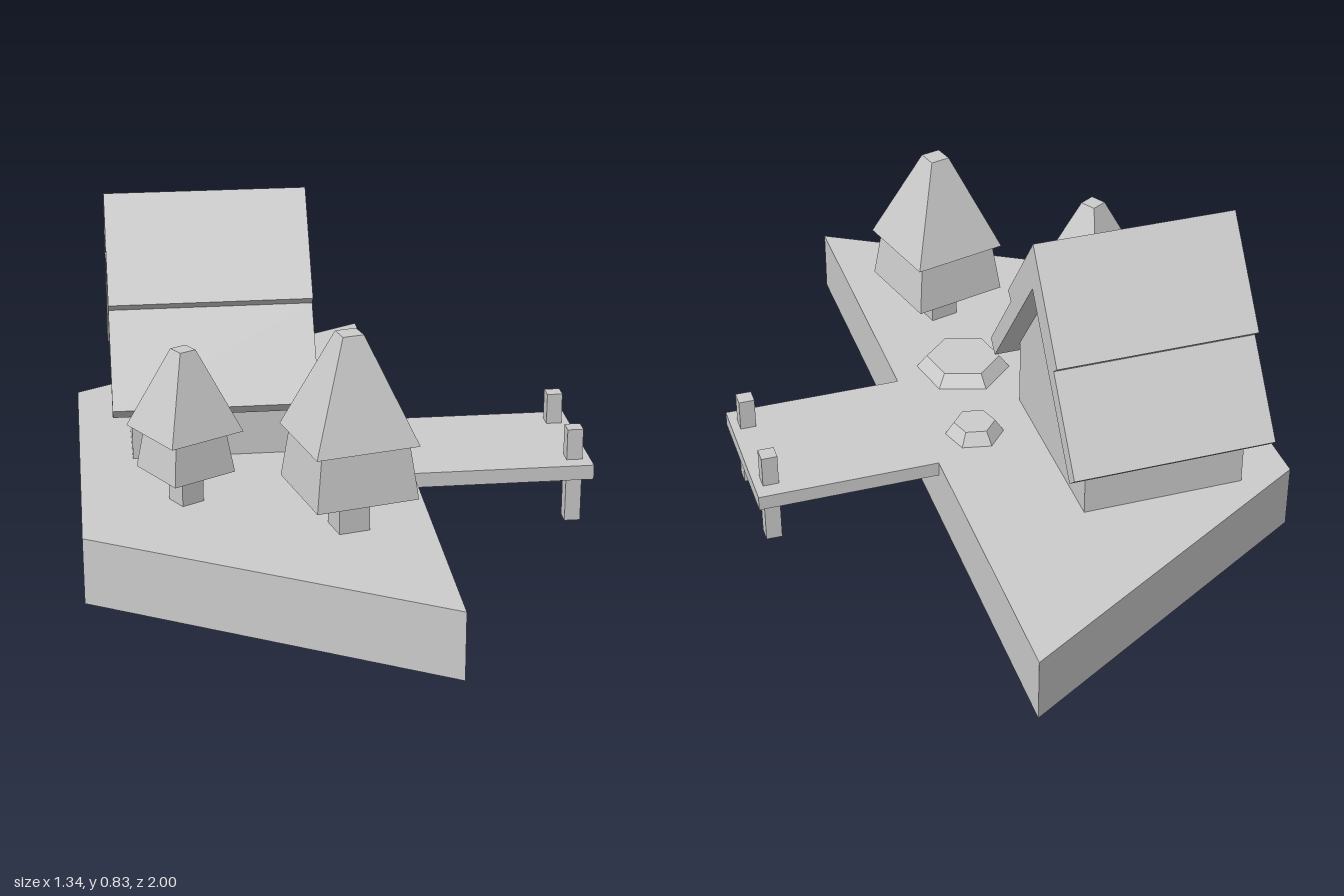
import * as THREE from 'three';

const GROUND = 0.175;
const material = new THREE.MeshStandardMaterial({ color: 0xcccccc, flatShading: true });
const openMaterial = new THREE.MeshStandardMaterial({ color: 0xcccccc, flatShading: true, side: THREE.DoubleSide });

function add(parent, name, geometry, x = 0, y = 0, z = 0) {
  const mesh = new THREE.Mesh(geometry, material);
  mesh.name = name;
  mesh.position.set(x, y, z);
  parent.add(mesh);
  return mesh;
}

// Low-poly frustum standing on y0
function frustum(parent, name, rTop, rBottom, y0, y1, sides) {
  const g = new THREE.CylinderGeometry(rTop, rBottom, y1 - y0, sides);
  return add(parent, name, g, 0, (y0 + y1) / 2, 0);
}

// Profile in (z, y), extruded along x from x0 to x1
function extrudeAlongX(points, x0, x1) {
  const shape = new THREE.Shape(points.map(([a, b]) => new THREE.Vector2(a, b)));
  const g = new THREE.ExtrudeGeometry(shape, { depth: x1 - x0, bevelEnabled: false });
  return g.rotateY(Math.PI / 2).translate(x0, 0, 0);
}

// Completes a symmetric profile whose first and last points lie on the axis
function mirrored(half) {
  return [...half, ...half.slice(1, -1).reverse().map(([a, b]) => [-a, b])];
}

function createIsland() {
  const island = new THREE.Group();
  island.name = 'island';
  const outline = [[-0.67, 0.5], [0.19, 1], [0.19, -1], [-0.67, -0.5]];
  // Top surface and side walls; the underside is open
  const positions = [];
  const quad = (a, b, c, d) => positions.push(...a, ...b, ...c, ...a, ...c, ...d);
  quad(...outline.map(([x, z]) => [x, GROUND, z]));
  outline.forEach(([x, z], i) => {
    const [nx, nz] = outline[(i + 1) % 4];
    quad([x, 0, z], [nx, 0, nz], [nx, GROUND, nz], [x, GROUND, z]);
  });
  const g = new THREE.BufferGeometry();
  g.setAttribute('position', new THREE.Float32BufferAttribute(positions, 3));
  g.computeVertexNormals();
  add(island, 'islandShell', g).material = openMaterial;
  return island;
}

function createHouse() {
  const house = new THREE.Group();
  house.name = 'house';
  house.position.z = -0.248;
  // Gabled body
  const body = mirrored([[0, GROUND], [0.257, GROUND], [0.257, 0.363], [0, 0.7]]);
  add(house, 'houseBody', extrudeAlongX(body, -0.53, -0.1));
  // Two-tier roof with a small step on each slope
  const roof = mirrored([[0, 0.7], [0.298, 0.309], [0.333, 0.34], [0.167, 0.56], [0.19, 0.58], [0, 0.83]]);
  add(house, 'roof', extrudeAlongX(roof, -0.58, -0.043));
  return house;
}

function createTree(x, z, degrees, trunkRadius, lower, upper) {
  const tree = new THREE.Group();
  tree.name = 'tree';
  frustum(tree, 'trunk', trunkRadius, trunkRadius, GROUND, lower.y0 + 0.02, 4);
  frustum(tree, 'lowerFoliage', lower.top, lower.bottom, lower.y0, upper.y0, 4);
  frustum(tree, 'upperFoliage', upper.top, upper.bottom, upper.y0, upper.y1, 4);
  tree.position.set(x, 0, z);
  tree.rotation.y = -THREE.MathUtils.degToRad(degrees);
  return tree;
}

function createDock() {
  const dock = new THREE.Group();
  dock.name = 'dock';
  add(dock, 'dockDeck', new THREE.BoxGeometry(0.48, 0.04, 0.39), 0.43, 0.155, 0);
  for (const side of [-1, 1]) {
    add(dock, 'dockPost', new THREE.BoxGeometry(0.042, 0.26, 0.042), 0.627, 0.13, side * 0.13);
  }
  return dock;
}

export function createModel() {
  const model = new THREE.Group();
  model.name = 'islandCabin';
  model.add(createIsland(), createHouse(), createDock());

  model.add(
    createTree(-0.405, 0.294, 15, 0.0445,
      { y0: 0.26, bottom: 0.126, top: 0.104 },
      { y0: 0.37, y1: 0.58, bottom: 0.149, top: 0.032 }),
    createTree(-0.017, 0.502, 31, 0.056,
      { y0: 0.28, bottom: 0.185, top: 0.16 },
      { y0: 0.418, y1: 0.68, bottom: 0.187, top: 0.038 }),
  );

  // Hexagonal rocks: x, z, top radius, bottom radius, turn in degrees
  for (const [x, z, top, bottom, turn] of [[-0.003, 0.21, 0.1, 0.128, 18], [0.06, -0.093, 0.055, 0.078, 12]]) {
    const rock = frustum(model, 'rock', top, bottom, GROUND, 0.21, 6);
    rock.position.x = x;
    rock.position.z = z;
    rock.rotation.y = Math.PI / 2 - THREE.MathUtils.degToRad(turn);
  }
  return model;
}
